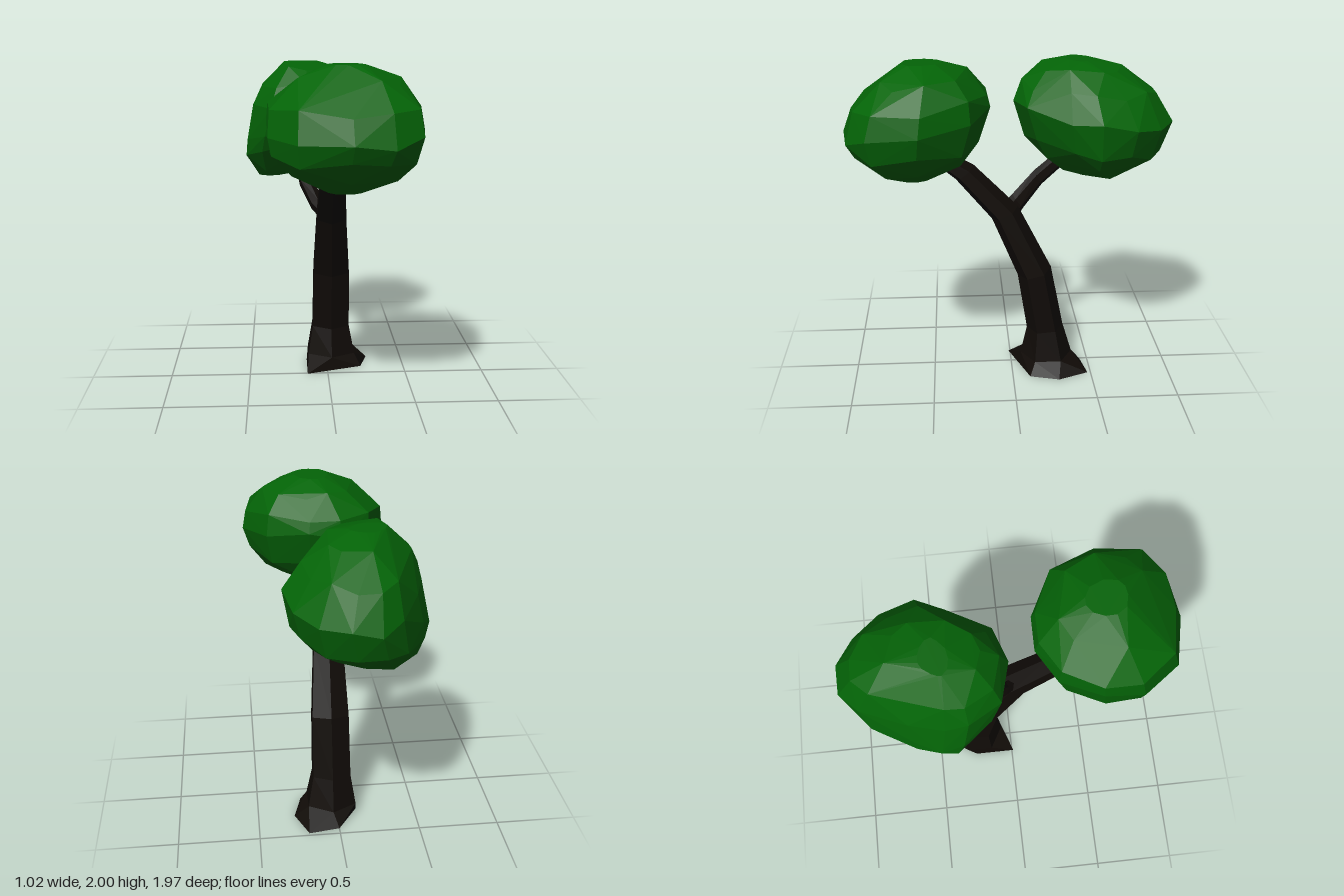
import * as THREE from 'three';
import { ConvexGeometry } from 'three/addons/geometries/ConvexGeometry.js';

const bark = new THREE.MeshStandardMaterial({ color: 0x100b07, flatShading: true });
const leaf = new THREE.MeshStandardMaterial({ color: 0x046407, flatShading: true });

// Six-sided limb; each section is [x0, x1, frontZ, frontY, backZ, backY].
// An optional foot outline of [x, z] corners on the ground starts the limb.
function limb(name, sections, foot = []) {
  const n = 6, pos = [], index = [];
  for (const [x, z] of foot) pos.push(x, 0, z);
  for (const [x0, x1, fz, fy, bz, by] of sections) {
    const cx = (x0 + x1) / 2, cy = (fy + by) / 2, cz = (fz + bz) / 2;
    for (let j = 0; j < n; j++) {
      const a = Math.PI / 6 + (j / n) * Math.PI * 2;
      const c = Math.cos(a) / Math.cos(Math.PI / 6), s = Math.sin(a);
      pos.push(cx + c * (x1 - x0) / 2, cy + s * (fy - by) / 2, cz + s * (fz - bz) / 2);
    }
  }
  const top = pos.length / 3 - n;
  for (let i = 0; i < top; i += n) {
    for (let j = 0; j < n; j++) {
      const a = i + j, b = i + (j + 1) % n;
      index.push(a, a + n, b + n, a, b + n, b);
    }
  }
  // End caps
  for (let j = 1; j < n - 1; j++) index.push(0, j, j + 1, top, top + j + 1, top + j);
  const g = new THREE.BufferGeometry();
  g.setAttribute('position', new THREE.Float32BufferAttribute(pos, 3));
  g.setIndex(index);
  const flat = g.toNonIndexed();
  flat.computeVertexNormals();
  const mesh = new THREE.Mesh(flat, bark);
  mesh.name = name;
  return mesh;
}

// Faceted leaf mass: hull of a plan outline [x, z] fitted to each ring
// [y, x0, x1, z0, z1, tilt], where tilt is the rise from back to front
function canopy(name, outline, rings) {
  const plan = outline.map(([x, z]) => new THREE.Vector2(x, z));
  const box = new THREE.Box2().setFromPoints(plan);
  const pts = [];
  rings.forEach(([y, x0, x1, z0, z1, tilt], i) => {
    const end = i === 0 || i === rings.length - 1;
    plan.forEach((p, j) => {
      const t = box.getParameter(p, new THREE.Vector2());
      const wobble = end ? 0 : 0.02 * Math.sin(j * 2.4 + i * 1.7);
      pts.push(new THREE.Vector3(
        THREE.MathUtils.lerp(x0, x1, t.x),
        y + wobble + tilt * (t.y - 0.5),
        THREE.MathUtils.lerp(z0, z1, t.y)));
    });
  });
  const mesh = new THREE.Mesh(new ConvexGeometry(pts), leaf);
  mesh.name = name;
  return mesh;
}

export function createModel() {
  const tree = new THREE.Group();
  tree.name = 'tree';

  // Forward-leaning trunk on an uneven root flare
  tree.add(limb('trunk', [
    [-0.12, 0.18, -0.06, 0.08, -0.39, 0.08],
    [-0.09, 0.145, -0.10, 0.26, -0.33, 0.28],
    [-0.085, 0.14, -0.04, 0.63, -0.25, 0.68],
    [-0.07, 0.11, 0.12, 1.01, -0.04, 1.09],
    [-0.06, 0.09, 0.34, 1.27, 0.23, 1.36],
    [-0.05, 0.08, 0.46, 1.37, 0.36, 1.43],
    [-0.03, 0.06, 0.57, 1.52, 0.50, 1.56],
  ], [[0.22, -0.11], [-0.13, 0.01], [-0.13, -0.25], [0, -0.45], [0.19, -0.48], [0.27, -0.29]]));

  // Rear branch
  tree.add(limb('branch', [
    [-0.05, 0.04, 0.05, 1.10, -0.03, 1.00],
    [-0.10, -0.02, -0.01, 1.14, -0.08, 1.05],
    [-0.17, -0.09, -0.15, 1.27, -0.20, 1.18],
    [-0.19, -0.12, -0.28, 1.37, -0.33, 1.29],
    [-0.18, -0.13, -0.40, 1.46, -0.43, 1.40],
  ]));

  tree.add(canopy('frontCanopy', [
    [-0.07, 0.13], [0.12, 0.13], [0.37, 0.25], [0.51, 0.54], [0.47, 0.83], [0.31, 0.95],
    [0.09, 0.98], [-0.20, 0.92], [-0.36, 0.71], [-0.37, 0.48], [-0.26, 0.24],
  ], [
    [2.0, -0.03, 0.18, 0.41, 0.64, 0],
    [1.92, -0.20, 0.38, 0.26, 0.77, -0.03],
    [1.79, -0.36, 0.49, 0.15, 0.94, -0.06],
    [1.66, -0.37, 0.51, 0.13, 0.99, -0.13],
    [1.51, -0.35, 0.47, 0.20, 0.94, -0.03],
    [1.40, -0.23, 0.37, 0.31, 0.83, 0],
    [1.30, -0.03, 0.16, 0.49, 0.66, 0],
  ]));

  tree.add(canopy('rearCanopy', [
    [-0.19, -0.98], [-0.02, -0.98], [0.15, -0.88], [0.28, -0.72], [0.33, -0.51],
    [0.25, -0.34], [0.07, -0.09], [-0.15, -0.02], [-0.39, -0.08], [-0.51, -0.27],
    [-0.51, -0.40], [-0.45, -0.60], [-0.32, -0.87],
  ], [
    [1.97, -0.26, -0.04, -0.50, -0.34, 0],
    [1.92, -0.29, 0.10, -0.68, -0.17, 0.02],
    [1.81, -0.40, 0.22, -0.88, -0.07, 0.05],
    [1.655, -0.46, 0.33, -0.98, -0.02, 0.13],
    [1.46, -0.50, 0.29, -0.92, -0.09, 0.10],
    [1.38, -0.51, 0.22, -0.84, -0.17, 0.05],
    [1.28, -0.46, 0.06, -0.72, -0.30, 0.02],
    [1.23, -0.43, -0.25, -0.56, -0.39, 0],
  ]));

  return tree;
}
